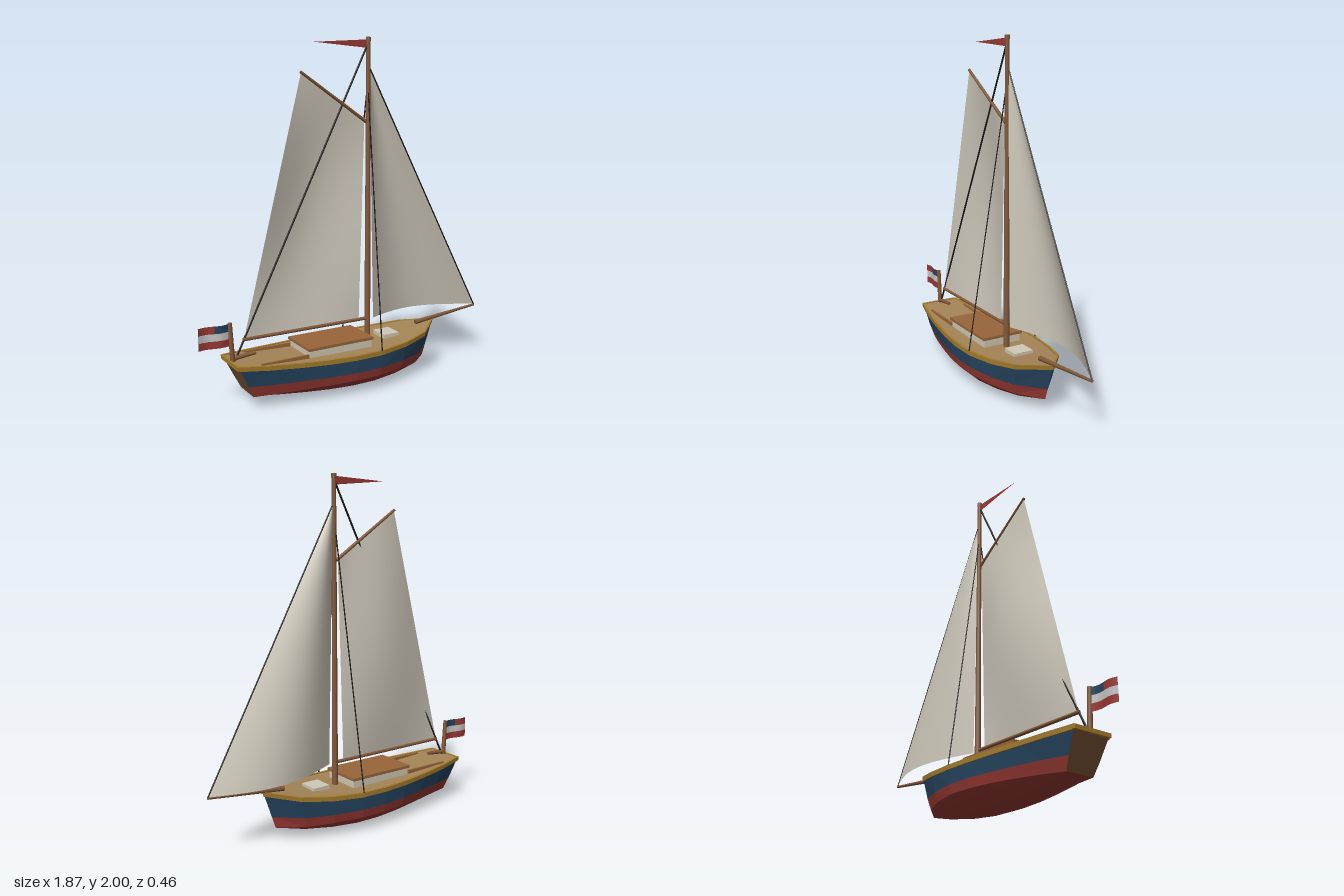
import * as THREE from 'three';

const V = (x, y, z = 0) => new THREE.Vector3(x, y, z);
const lerp = THREE.MathUtils.lerp;
const COLORS = {
  blue: 0x264560, red: 0x9c3a34, gold: 0xa47c2c, deck: 0xa58557, roof: 0x99663a,
  wood: 0x83593a, cream: 0xd2cab6, sail: 0xd0cabc, rope: 0x1c1a18, white: 0xd8d8d4,
};

function mat(color, flat = false) {
  return new THREE.MeshStandardMaterial({ color: COLORS[color], flatShading: flat, side: THREE.DoubleSide });
}

// Surface through the points fn(i, j), i = 0..nu, j = 0..nv
function grid(fn, nu, nv) {
  const pos = [], idx = [];
  for (let i = 0; i <= nu; i++) for (let j = 0; j <= nv; j++) pos.push(...fn(i, j).toArray());
  for (let i = 0; i < nu; i++) for (let j = 0; j < nv; j++) {
    const a = i * (nv + 1) + j, b = a + nv + 1;
    idx.push(a, b, a + 1, b, b + 1, a + 1);
  }
  const g = new THREE.BufferGeometry();
  g.setAttribute('position', new THREE.Float32BufferAttribute(pos, 3));
  g.setIndex(idx);
  g.computeVertexNormals();
  return g;
}

// Hull stations: x and half-width at deck level
const STATIONS = [[-0.76, 0.117], [-0.6, 0.156], [-0.43, 0.186], [-0.26, 0.211], [-0.09, 0.225],
  [0.08, 0.223], [0.27, 0.193], [0.44, 0.138], [0.595, 0]];
const LAST = STATIONS.length - 1;
const sheer = (x) => 0.236 + (x < 0 ? 0.028 * (x / 0.76) ** 2 : 0.053 * (x / 0.6) ** 2);

// One half-section from deck edge (0) to keel (5), raked at both ends
function hullPoint(i, row, side) {
  const [x, w] = STATIONS[i];
  const end = Math.min(1, (x / (x < 0 ? 0.76 : 0.595)) ** 2);
  const top = sheer(x), chine = 0.07 + 0.018 * (1 - end), keel = 0.07 * end;
  const low = lerp(0.93, 0.74, end);
  const y = [top, 0.137, chine, lerp(chine, keel, 0.55), lerp(chine, keel, 0.85), keel][row];
  const f = [1, lerp(0.98, 0.86, end), low, low * 0.75, low * 0.4, 0][row];
  return V(x * (0.875 + 0.125 * (y - 0.07) / (top - 0.07)), y, side * w * f);
}

export function createModel() {
  const model = new THREE.Group();
  model.name = 'sailboat';

  function add(name, geometry, color, flat, parent = model) {
    const m = new THREE.Mesh(geometry, mat(color, flat));
    m.name = name;
    parent.add(m);
    return m;
  }
  function box(name, color, x0, x1, y0, y1, z0, z1) {
    const m = add(name, new THREE.BoxGeometry(x1 - x0, y1 - y0, z1 - z0), color);
    m.position.set((x0 + x1) / 2, (y0 + y1) / 2, (z0 + z1) / 2);
    return m;
  }
  // Round bar from a to b
  function spar(name, a, b, r0, r1 = r0, color = 'wood', sides = 10) {
    const m = add(name, new THREE.CylinderGeometry(r1, r0, a.distanceTo(b), sides), color);
    m.position.copy(a).lerp(b, 0.5);
    m.quaternion.setFromUnitVectors(V(0, 1), b.clone().sub(a).normalize());
    return m;
  }

  // Hull sides and rails, mirrored
  for (const side of [1, -1]) {
    const s = side > 0 ? 'right' : 'left';
    add(s + 'Topside', grid((i, j) => hullPoint(i, j, side), LAST, 1), 'blue', true);
    add(s + 'WaterlineBand', grid((i, j) => hullPoint(i, 1 + j, side), LAST, 1), 'red', true);
    const section = [[0.005, -0.022], [0.005, 0.004], [-0.01, 0.004], [-0.01, -0.022], [0.005, -0.022]];
    add(s + 'Rail', grid((i, j) => {
      const [x, w] = STATIONS[i], [dz, dy] = section[j];
      return V(x + (i === LAST ? dz : 0) + dy * 0.5 * Math.sign(x) * Math.abs(x), sheer(x) + dy,
        side * Math.max(0, i === LAST ? 0 : w + dz));
    }, LAST, 4), 'gold', true);
    // Cockpit coaming
    box(s + 'Coaming', 'roof', -0.63, -0.34, 0.235, 0.262, side * 0.119 - 0.006, side * 0.119 + 0.006);
    // Shroud
    spar(s + 'Shroud', V(0.075, 0.24, side * 0.225), V(0.112, 1.75, 0), 0.0035, 0.0035, 'rope', 6);
  }
  add('hullBottom', grid((i, j) => hullPoint(i, j < 4 ? 2 + j : 8 - j, j < 4 ? 1 : -1), LAST, 6), 'red');
  add('transom', grid((i, j) => hullPoint(0, i, 1 - 2 * j), 5, 1), 'wood', true);
  box('transomRail', 'gold', -0.766, -0.752, 0.245, 0.267, -0.12, 0.12);
  add('deck', grid((i, j) => {
    const [x, w] = STATIONS[i];
    return V(x, sheer(x) - 0.001, w * (1 - j));
  }, LAST, 2), 'deck', true);

  // Cabin and fore hatch
  box('cabinWalls', 'cream', -0.335, 0.068, 0.22, 0.284, -0.12, 0.12);
  box('cabinRoof', 'roof', -0.345, 0.077, 0.28, 0.296, -0.13, 0.13);
  box('foreHatch', 'cream', 0.197, 0.303, 0.23, 0.266, -0.06, 0.06);

  // Spars
  spar('mast', V(0.115, 0.23), V(0.115, 1.99), 0.018, 0.012, 'wood', 14);
  spar('mastCap', V(0.115, 1.978), V(0.115, 2), 0.015);
  spar('boom', V(0.1, 0.37), V(-0.68, 0.373), 0.01);
  spar('gaff', V(0.1, 1.53), V(-0.315, 1.806), 0.01, 0.008);
  spar('bowsprit', V(0.465, 0.287), V(0.928, 0.331), 0.014, 0.007);
  spar('tiller', V(-0.735, 0.278), V(-0.61, 0.288), 0.013, 0.01);

  // Stays
  spar('backstay', V(-0.73, 0.265), V(0.108, 1.955), 0.0055, 0.0055, 'rope', 6);
  spar('forestay', V(0.926, 0.334), V(0.122, 1.835), 0.004, 0.004, 'rope', 6);

  // Billowing sails: corners lowA-lowB and topA-topB, pushed toward -z
  function sail(name, lowA, lowB, topA, topB, belly) {
    const n = 12;
    add(name, grid((i, j) => {
      const u = i / n, v = j / n;
      const p = lowA.clone().lerp(lowB, u).lerp(topA.clone().lerp(topB, u), v);
      p.z -= belly(u, v);
      return p;
    }, n, n), 'sail');
  }
  sail('mainsail', V(-0.675, 0.378), V(0.055, 0.378), V(-0.312, 1.8), V(0.09, 1.535),
    (u, v) => 0.06 * Math.sin(Math.PI * u) * Math.sin(Math.PI * v));
  sail('jib', V(0.155, 0.365), V(0.925, 0.335), V(0.123, 1.825), V(0.125, 1.825),
    (u, v) => 0.112 * Math.sin(Math.PI * u) * (1 - v) ** 0.75);

  // Masthead pennant
  const pennant = new THREE.Shape([[0.105, 1.94], [0.105, 1.986], [-0.23, 1.965]].map((p) => new THREE.Vector2(...p)));
  add('pennant', new THREE.ShapeGeometry(pennant), 'red');

  // Stern flag on its staff, gently waving
  spar('flagStaff', V(-0.744, 0.25), V(-0.757, 0.478), 0.014, 0.012);
  const flag = new THREE.Group();
  flag.name = 'sternFlag';
  model.add(flag);
  const cloth = (name, color, x0, x1, y0, y1) => add(name, grid((i, j) => {
    const x = lerp(x0, x1, i / 6), t = (-0.765 - x) / 0.17;
    return V(x, lerp(y0, y1, j), 0.008 * Math.sin(t * Math.PI * 2));
  }, 6, 1), color, false, flag);
  cloth('flagLowerStripe', 'red', -0.936, -0.762, 0.35, 0.391);
  cloth('flagMiddleStripe', 'white', -0.936, -0.762, 0.391, 0.432);
  cloth('flagUpperStripe', 'red', -0.936, -0.845, 0.432, 0.474);
  cloth('flagCanton', 'blue', -0.845, -0.762, 0.432, 0.474);

  return model;
}
